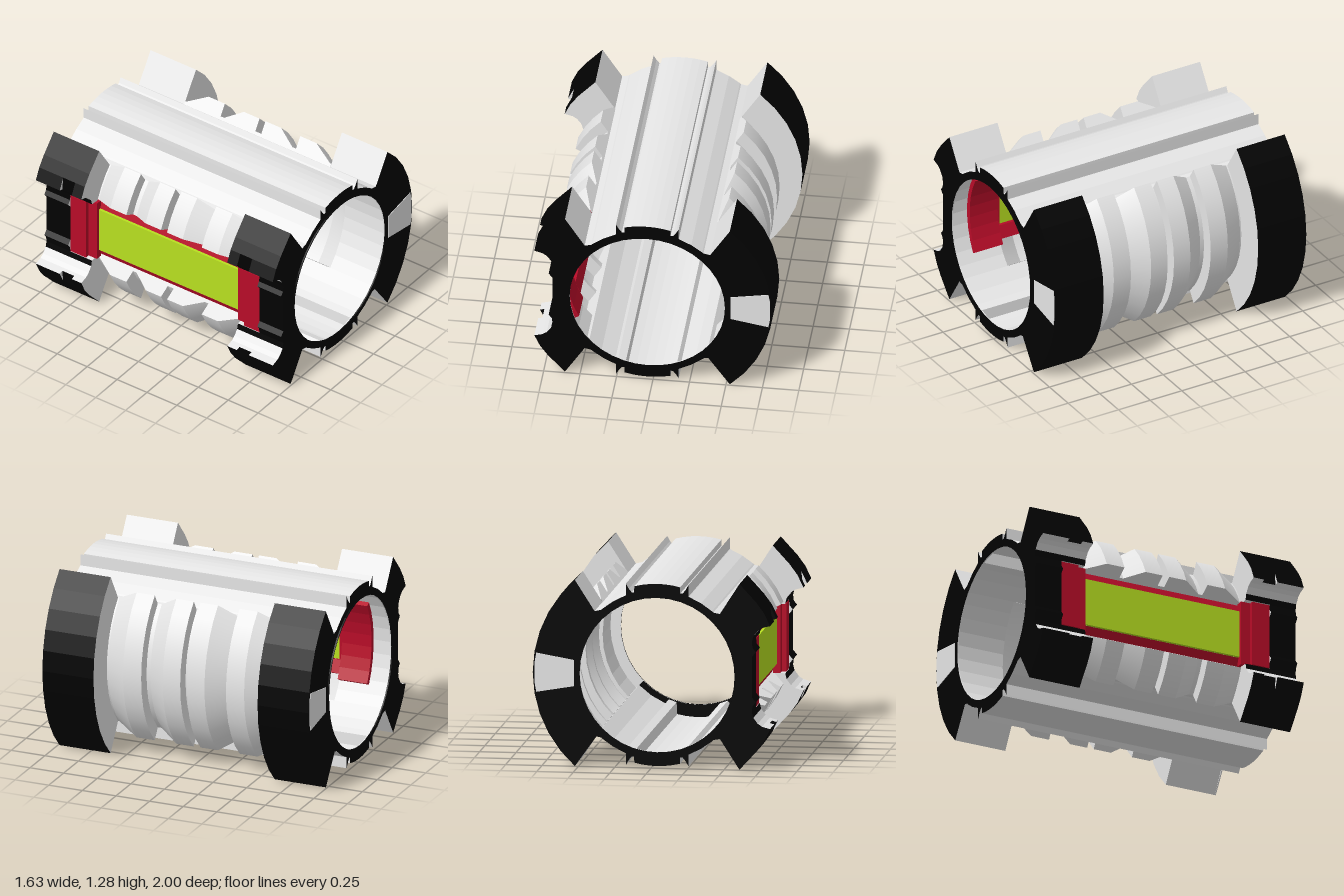
import * as THREE from 'three';
import { mergeGeometries } from 'three/addons/utils/BufferGeometryUtils.js';

const D = Math.PI / 180;
const BORE = 0.533, HOLLOW = 0.604, END = 0.99, CAP = 0.982, FLANGE = 0.61;

const black = new THREE.MeshStandardMaterial({ color: 0x020202 });
black.name = 'black';
const grey = new THREE.MeshStandardMaterial({ color: 0xe6e6e6, side: THREE.DoubleSide });
grey.name = 'light grey';
const red = new THREE.MeshStandardMaterial({ color: 0xb80c28 });
red.name = 'dark red';
const green = new THREE.MeshStandardMaterial({ color: 0xb8e020 });
green.name = 'lime green';

// points along an arc, angles in degrees
function arc(r, a0, a1, step = 9) {
  const n = Math.max(1, Math.round(Math.abs(a1 - a0) / step));
  return Array.from({ length: n + 1 }, (_, i) => {
    const a = (a0 + (a1 - a0) * i / n) * D;
    return [r * Math.cos(a), r * Math.sin(a)];
  });
}
const toShape = pts => new THREE.Shape(pts.map(p => new THREE.Vector2(p[0], p[1])));
const sector = (r0, r1, a0, a1) => toShape([...arc(r1, a0, a1), ...arc(r0, a1, a0)]);

// extrude a cross-section between two z positions
function slab(shape, z0, z1) {
  const g = new THREE.ExtrudeGeometry(shape, { depth: z1 - z0, bevelEnabled: false });
  return g.translate(0, 0, z0);
}

// black on the outward end and the outer rim, grey on the cuts, inside and inner end
function paintFlange(g, side) {
  const p = g.attributes.position, n = g.attributes.normal;
  g.clearGroups();
  for (let i = 0; i < p.count; i += 3) {
    const cx = p.getX(i) + p.getX(i + 1) + p.getX(i + 2);
    const cy = p.getY(i) + p.getY(i + 1) + p.getY(i + 2);
    const radial = (n.getX(i) * cx + n.getY(i) * cy) / Math.hypot(cx, cy);
    g.addGroup(i, 3, n.getZ(i) * side > 0.5 || radial > 0.5 ? 0 : 1);
  }
  return g;
}

// spread the rib ends a little wider as the radius grows, in line with the flange cuts
function flare(g) {
  const p = g.attributes.position;
  for (let i = 0; i < p.count; i++) {
    const x = p.getX(i), y = p.getY(i), r = Math.hypot(x, y);
    const a = Math.atan2(y, Math.abs(x)) * (1 + 0.37 * (r - 0.63));
    p.setXY(i, Math.sign(x) * r * Math.cos(a), r * Math.sin(a));
  }
  return g;
}

export function createModel() {
  const model = new THREE.Group();
  const body = new THREE.Group();
  body.name = 'sleeveBody';
  body.position.set(-0.04, 0.64, 0);
  model.add(body);
  const add = (name, geo, mat) => {
    const m = new THREE.Mesh(geo, mat);
    m.name = name;
    body.add(m);
    return m;
  };

  // top and bottom walls: thin shells with a raised centre rail and two pointed fins
  const mirrorX = pts => pts.map(([x, y]) => [-x, y]).reverse();
  const rightSide = [
    [0.43, 0.43], [0.385, 0.44], ...arc(0.585, 50, 68),
    [0.215, 0.545], [0.215, 0.625], [0.195, 0.59], [0.175, 0.565], [0.158, 0.565],
  ];
  const outline = [...rightSide, ...arc(0.628, 75.5, 104.5, 5), ...mirrorX(rightSide)];
  const shell = toShape([
    ...outline, ...arc(0.575, 135, 113), ...arc(0.54, 112, 106, 6),
    ...arc(0.618, 103.5, 76.5, 5), ...arc(0.54, 74, 68, 6), ...arc(0.575, 67, 45),
  ]);
  const crownCap = toShape([...outline, ...arc(BORE, 135, 45)]);
  for (const [name, turn] of [['top', 0], ['bottom', Math.PI]]) {
    add(name + 'Wall', slab(shell, -CAP, CAP), grey).rotation.z = turn;
    add(name + 'FrontCap', slab(crownCap, CAP, END), [black, grey]).rotation.z = turn;
    add(name + 'BackCap', slab(crownCap, -END, -CAP), [black, grey]).rotation.z = turn;
  }

  // flange cross-sections
  const rightArm = inner => toShape([...arc(0.855, -48.6, 48.6, 10), [0.43, 0.43], ...arc(inner, 45, -45)]);
  const scallop = [[-0.72, 0.34], [-0.69, 0.32], [-0.66, 0.28], [-0.65, 0.24]];
  const solid = [...scallop, [-0.655, 0.2], [-0.677, 0.172], [-0.65, 0.14]];
  const windowed = [...scallop, [-0.61, 0.236]];
  const fullTip = [[-0.735, 0.44], [-0.775, 0.355]];
  const pocketTip = [[-0.735, 0.44], [-0.745, 0.347]];
  const leftArm = (tip, notch, inner) => {
    const upper = [[-0.43, 0.43], [-0.565, 0.64], [-0.68, 0.515], ...tip, ...notch];
    const lower = upper.map(([x, y]) => [x, -y]).reverse();
    return toShape([...upper, ...lower, ...arc(inner, 225, 135)]);
  };
  const patch = toShape([[0.57, -0.09], [0.83, -0.135], [0.842, -0.07], [0.842, 0.07], [0.83, 0.135], [0.57, 0.09]]);
  const lip = toShape(arc(0.54, 0, 351));
  lip.holes.push(new THREE.Path(arc(BORE, 0, 351).map(p => new THREE.Vector2(...p))));

  // both ends: side = +1 front, -1 back
  for (const side of [1, -1]) {
    const end = side > 0 ? 'front' : 'back';
    const span = (shape, a, b) => side > 0 ? slab(shape, a, b) : slab(shape, -b, -a);
    const flange = (name, shape, a, b) => add(end + name, paintFlange(span(shape, a, b), side), [black, grey]);
    flange('RightFlange', rightArm(HOLLOW), FLANGE, CAP);
    flange('RightFlangeCap', rightArm(BORE), CAP, END);
    flange('LeftFlangeInner', leftArm(fullTip, windowed, HOLLOW), FLANGE, 0.69);
    flange('LeftFlangePocket', leftArm(pocketTip, windowed, HOLLOW), 0.69, 0.79);
    flange('LeftFlangeOuter', leftArm(fullTip, solid, HOLLOW), 0.79, CAP);
    flange('LeftFlangeCap', leftArm(fullTip, solid, BORE), CAP, END);
    add(end + 'Lip', span(lip, END, 1), black);
    add(end + 'Patch', span(patch, END, END + 0.004), grey);
    // stepped red window ends, with a lining on the inside
    add(end + 'WindowEndLining', span(sector(0.565, 0.6, 150, 210), 0.61, 0.83), red);
    add(end + 'WindowEndStep', new THREE.BoxGeometry(0.05, 0.47, 0.07), red).position.set(-0.595, 0, side * 0.625);
    add(end + 'WindowEndBlock', new THREE.BoxGeometry(0.046, 0.47, 0.13), red).position.set(-0.628, 0, side * 0.725);
  }

  // ribbed side shells
  const half = [[0.63, 0.025], [0.72, 0.025], [0.72, 0.155], [0.63, 0.285], [0.63, 0.315], [0.72, 0.315], [0.72, 0.45], [0.63, 0.6], [0.63, FLANGE]];
  const profile = [...half.map(([r, z]) => [r, -z]).reverse(), ...half];
  const capShape = toShape([[0.58, -FLANGE], ...profile, [0.58, FLANGE]]);
  function ribs(name, a0, a1) {
    // one band per profile segment: smooth around, sharp along
    const bands = profile.slice(1).map((p, i) => new THREE.LatheGeometry(
      [new THREE.Vector2(...profile[i]), new THREE.Vector2(...p)],
      Math.round((a1 - a0) / 9), (a0 + 90) * D, (a1 - a0) * D).rotateX(Math.PI / 2));
    add(name, flare(mergeGeometries(bands)), grey);
    for (const a of [a0, a1])
      add(name + 'Cap', flare(new THREE.ShapeGeometry(capShape).rotateX(Math.PI / 2).rotateZ(a * D)), grey);
  }
  ribs('rightRibs', -45.6, 45.6);
  ribs('leftUpperRibs', 134.4, 157.5);
  ribs('leftLowerRibs', 202.5, 225.6);

  // window with long red bars and a green pane
  add('windowUpperBar', slab(sector(0.565, 0.607, 154, 163.5), -0.61, 0.61), red);
  add('windowLowerBar', slab(sector(0.565, 0.607, 196.5, 206), -0.61, 0.61), red);
  add('windowPane', new THREE.BoxGeometry(0.02, 0.34, 1.2), green).position.x = -0.588;

  return model;
}
